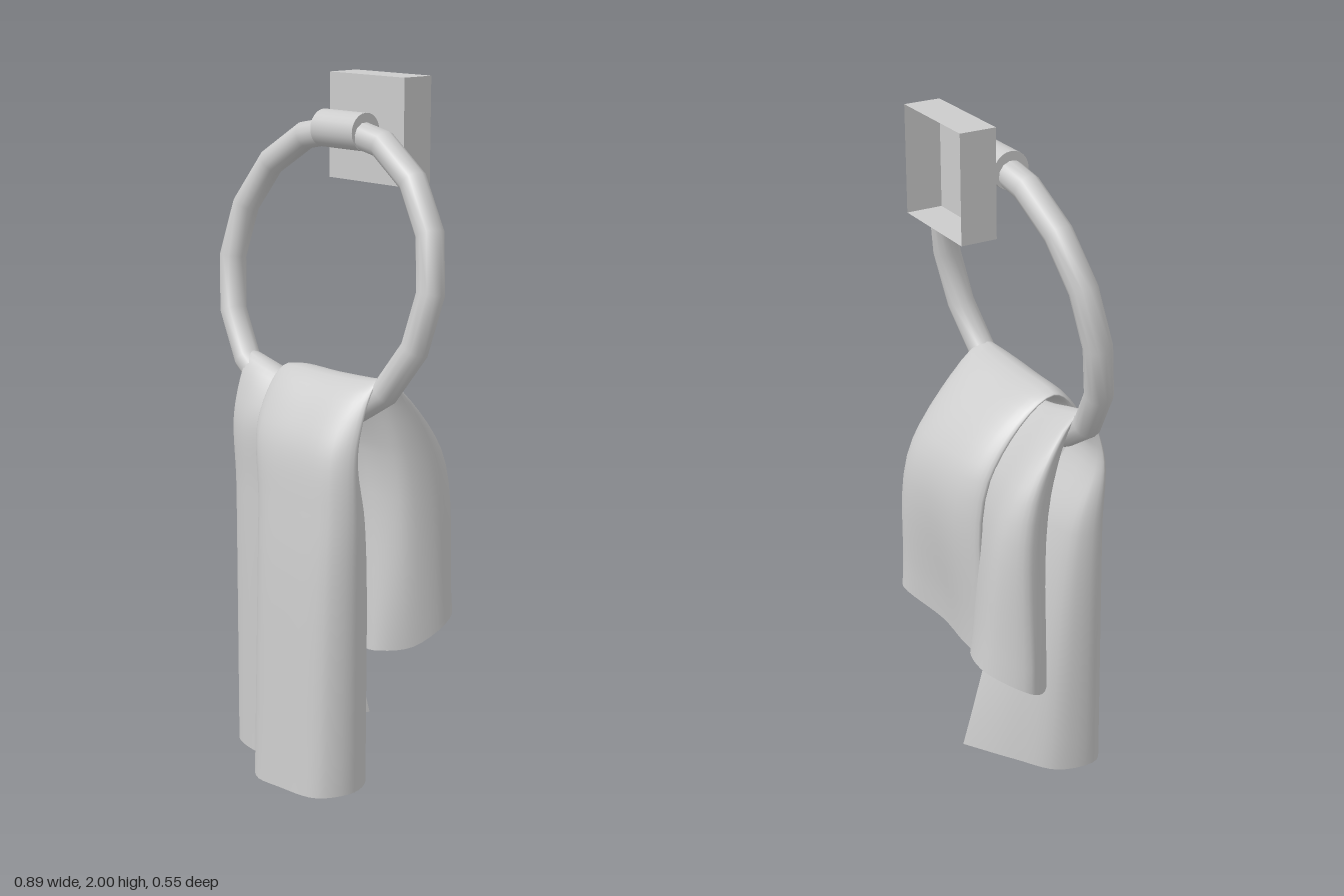
import * as THREE from 'three';

const grey = new THREE.MeshStandardMaterial({ color: 0xcccccc });
const thin = new THREE.MeshStandardMaterial({ color: 0xcccccc, side: THREE.DoubleSide });

function add(group, name, geometry, material, x = 0, y = 0, z = 0) {
  const mesh = new THREE.Mesh(geometry, material);
  mesh.name = name;
  mesh.position.set(x, y, z);
  group.add(mesh);
  return mesh;
}

// Cross-sections of the folded cloth as [x, z], each running from the
// inner left flap, round the front folds, to the inner right flap.
const frontHem = [[-.03, -.23], [-.15, -.12], [-.24, -.02], [-.25, .11], [-.14, .15], [0, .12], [.12, .1],
  [-.06, .19], [0, .26], [.12, .275], [.27, .265], [.32, .17], [.26, .07], [.1, .05], [0, -.04]];
const frontMiddle = [[-.03, 0], [-.14, 0], [-.24, .03], [-.26, .1], [-.17, .14], [-.03, .11], [.08, .1],
  [-.08, .16], [-.03, .21], [.1, .225], [.25, .21], [.295, .14], [.25, .07], [.1, .06], [0, .03]];
const frontTop = [[-.1, .095], [-.18, .095], [-.24, .095], [-.26, .105], [-.19, .125], [-.08, .115], [0, .11],
  [-.11, .14], [-.07, .165], [.08, .175], [.23, .165], [.28, .12], [.23, .1], [.12, .1], [0, .1]];
const backTop = [[-.05, -.06], [-.14, -.05], [-.25, -.06], [-.28, -.13], [-.22, -.17], [-.1, -.15], [0, -.13],
  [-.1, -.17], [-.05, -.21], [.1, -.235], [.25, -.23], [.3, -.16], [.26, -.06], [.14, -.05], [.05, -.05]];
const backHem = [[-.1, -.06], [-.2, -.05], [-.29, -.1], [-.33, -.17], [-.23, -.26], [-.1, -.24], [-.02, -.17],
  [-.12, -.2], [-.05, -.22], [.1, -.22], [.25, -.275], [.31, -.22], [.28, -.1], [.2, -.02], [.1, -.05]];

// Lofts the cross-sections over the ring as one smooth sheet.
function towelGeometry() {
  const place = (section, height) => section.map(([x, z]) => new THREE.Vector3(x, height(x, z), z));
  const ridge = frontTop.map(([x, z]) => {
    const outer = THREE.MathUtils.clamp((z - 0.09) / 0.06, 0, 1);
    const low = 1.11 + 1.3 * x * x; // inner layers follow the ring
    return new THREE.Vector3(x, THREE.MathUtils.lerp(low, 1.195 + 0.15 * x * x, outer), 0.035);
  });
  const rows = [
    place(frontHem, (x, z) => 0.005 + 0.1 * Math.max(0, x) + 0.2 * Math.max(0, -z)),
    place(frontMiddle, () => 0.8),
    place(frontTop, () => 1.05),
    ridge,
    place(backTop, () => 0.96),
    place(backHem, (x, z) => 0.35 + 0.5 * Math.max(0, -z - 0.1) + 0.15 * Math.max(0, x)),
  ];

  const across = 70, along = 40;
  const smoothRows = rows.map((row) => new THREE.CatmullRomCurve3(row).getPoints(across));
  const positions = [], index = [];
  for (let i = 0; i <= across; i++) {
    const strand = new THREE.CatmullRomCurve3(smoothRows.map((row) => row[i]));
    for (const p of strand.getPoints(along)) positions.push(p.x, p.y, p.z);
  }
  const n = along + 1;
  for (let i = 0; i < across; i++) {
    for (let j = 0; j < along; j++) {
      const a = i * n + j, b = a + n;
      index.push(a, b, b + 1, a, b + 1, a + 1);
    }
  }
  const geometry = new THREE.BufferGeometry();
  geometry.setAttribute('position', new THREE.Float32BufferAttribute(positions, 3));
  geometry.setIndex(index);
  geometry.computeVertexNormals();
  return geometry;
}

export function createModel() {
  const model = new THREE.Group();
  model.name = 'towelRing';

  // Wall plate: a shallow box with an open back
  const plate = new THREE.BoxGeometry(0.3, 0.3, 0.105);
  plate.setIndex(Array.from(plate.index.array).slice(0, 30));
  plate.clearGroups();
  add(model, 'wallPlate', plate, thin, 0, 1.85, -0.2225);

  // Square post through the plate, and the collar that holds the ring
  add(model, 'post', new THREE.BoxGeometry(0.055, 0.055, 0.08), grey, 0, 1.853, -0.14);
  const collar = new THREE.CylinderGeometry(0.053, 0.053, 0.168, 24);
  collar.rotateZ(Math.PI / 2);
  add(model, 'collar', collar, grey, 0, 1.853, -0.087);

  // Ring leaning out from the wall
  const ring = add(model, 'ring', new THREE.TorusGeometry(0.407, 0.04, 12, 16), grey, 0, 1.456, -0.018);
  ring.rotation.x = -0.172;

  // Folded towel draped over the ring
  add(model, 'towel', towelGeometry(), thin);
  return model;
}
